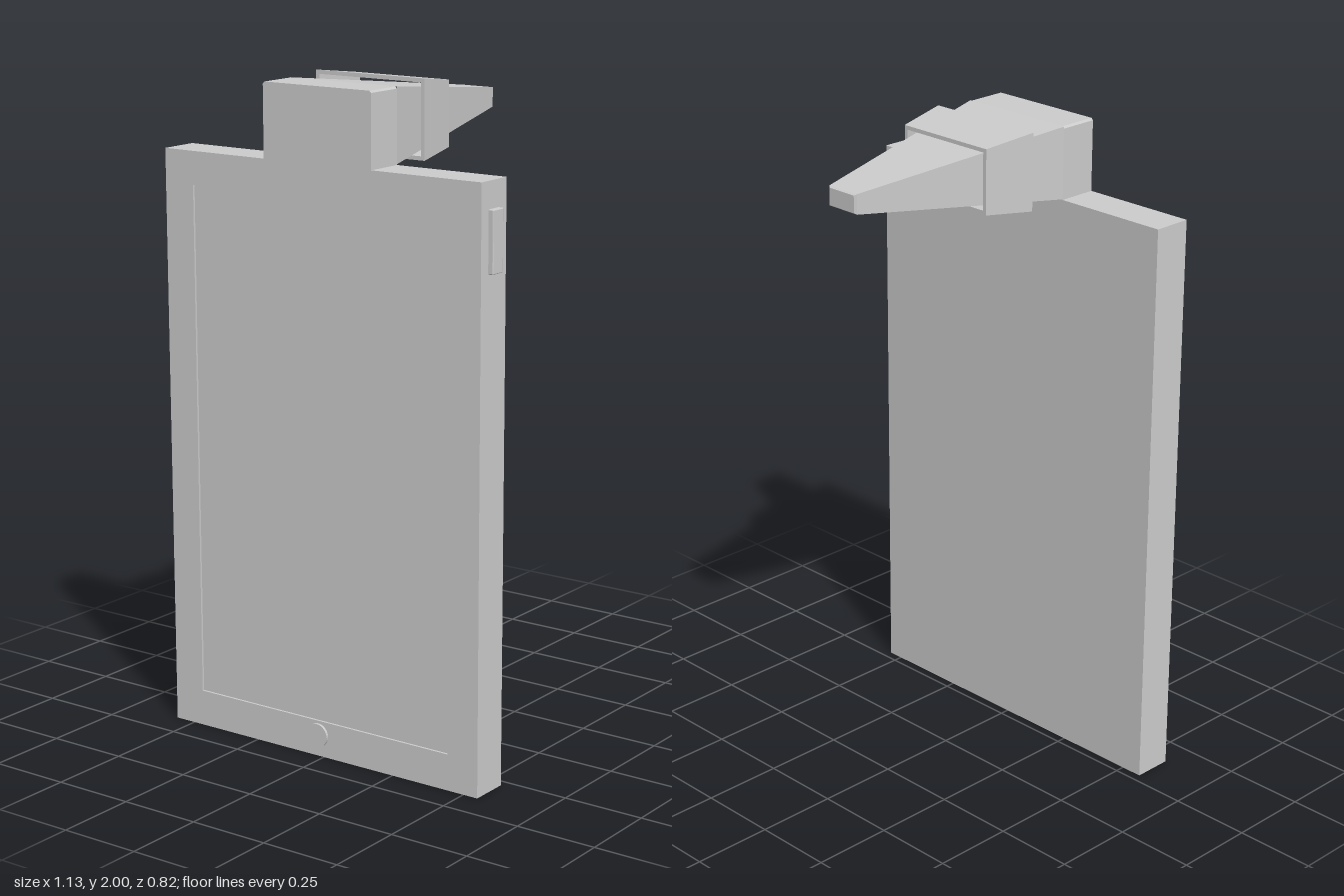
import * as THREE from 'three';
import { RoundedBoxGeometry } from 'three/addons/geometries/RoundedBoxGeometry.js';

const CX = -0.01; // the body sits slightly to one side because of the side button
const material = new THREE.MeshStandardMaterial({ color: 0xcccccc, flatShading: true });

function addMesh(group, name, geometry, x = 0, y = 0, z = 0) {
  const mesh = new THREE.Mesh(geometry, material);
  mesh.name = name;
  mesh.position.set(x, y, z);
  group.add(mesh);
  return mesh;
}

// Joins rectangles [halfWidth, bottom, top, z] in order, optionally capping the last one
function loft(sections, capEnd) {
  const rings = sections.map(([w, y0, y1, z]) => [
    [CX - w, y0, z], [CX + w, y0, z], [CX + w, y1, z], [CX - w, y1, z],
  ]);
  const pos = [];
  const quad = (a, b, c, d) => pos.push(...a, ...b, ...c, ...a, ...c, ...d);
  for (let s = 0; s < rings.length - 1; s++) {
    const p = rings[s], q = rings[s + 1];
    for (let i = 0; i < 4; i++) {
      const j = (i + 1) % 4;
      quad(p[i], q[i], q[j], p[j]);
    }
  }
  if (capEnd) {
    const e = rings[rings.length - 1];
    quad(e[0], e[3], e[2], e[1]);
  }
  const geometry = new THREE.BufferGeometry();
  geometry.setAttribute('position', new THREE.Float32BufferAttribute(pos, 3));
  geometry.computeVertexNormals();
  return geometry;
}

// Tablet outline with the raised block at the top
function bodyOutline() {
  const w = 0.558, h = 0.19, c = 0.006;
  return new THREE.Shape([
    [-w, 0], [w, 0], [w, 1.77], [h, 1.77], [h, 1.99 - c], [h - c, 1.99],
    [-h + c, 1.99], [-h, 1.99 - c], [-h, 1.77], [-w, 1.77],
  ].map(([x, y]) => new THREE.Vector2(x + CX, y)));
}

export function createModel() {
  const model = new THREE.Group();
  model.name = 'tabletWithPlug';

  // Body: a solid back and a thin front frame that leaves the screen recessed
  addMesh(model, 'body',
    new THREE.ExtrudeGeometry(bodyOutline(), { depth: 0.115, bevelEnabled: false }), 0, 0, 0.278);
  const frame = bodyOutline();
  frame.holes.push(new THREE.Path([
    [-0.455, 0.11], [-0.455, 1.67], [0.455, 1.67], [0.455, 0.11],
  ].map(([x, y]) => new THREE.Vector2(x + CX, y))));
  addMesh(model, 'screenFrame',
    new THREE.ExtrudeGeometry(frame, { depth: 0.007, bevelEnabled: false }), 0, 0, 0.393);

  // Buttons
  const home = addMesh(model, 'homeButton', new THREE.CylinderGeometry(0.036, 0.036, 0.016, 32), -0.02, 0.066, 0.4);
  home.rotation.x = Math.PI / 2;
  addMesh(model, 'sideButton', new RoundedBoxGeometry(0.03, 0.18, 0.05, 1, 0.003), 0.549, 1.602, 0.34);

  // Tapered plug running back from the top block, with a chamfered tip
  addMesh(model, 'plug', loft([
    [0.19, 1.772, 1.99, 0.278],
    [0.056, 1.853, 1.912, -0.405],
    [0.05, 1.857, 1.908, -0.411],
  ], true));

  // Hollow collar around the plug: outer wall, back rim, inner wall, front rim
  const front = [0.193, 1.766, 2.0, 0.148];
  const back = [0.166, 1.785, 1.98, -0.013];
  const inset = ([w, y0, y1, z], t = 0.012) => [w - t, y0 + t, y1 - t, z];
  addMesh(model, 'collar', loft([front, back, inset(back), inset(front), front], false));

  return model;
}
